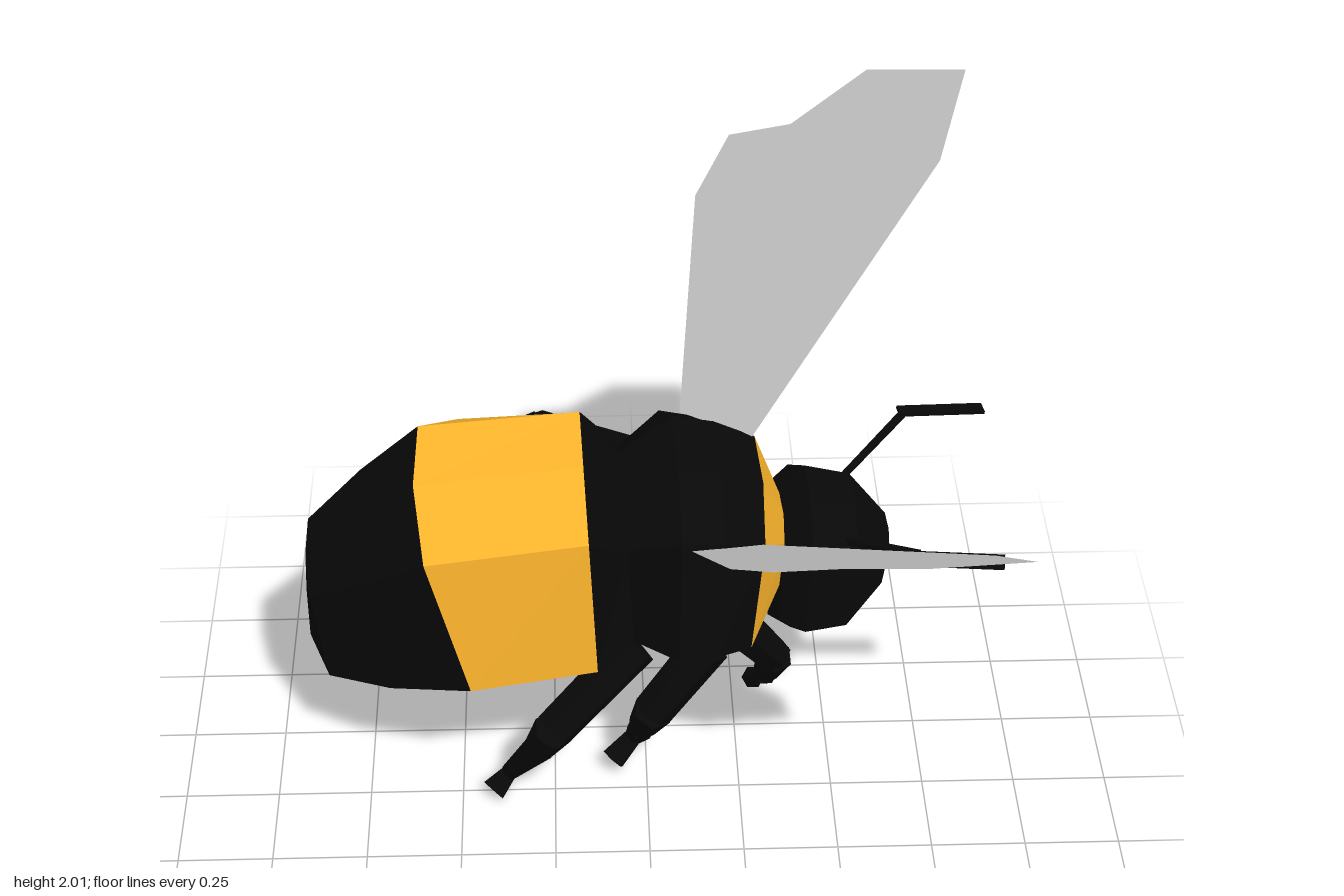
import * as THREE from 'three';

const material = (color) => new THREE.MeshStandardMaterial({ color, flatShading: true });
const black = material(0x080808);
const yellow = material(0xfcb52c);
const wingGrey = material(0xcccccc);
wingGrey.side = THREE.DoubleSide;

// Seven-sided body section: x at top and bottom, top and bottom height, half width, belly width ratio
function section([xTop, xBottom, top, bottom, w, belly = 0.55]) {
  const h = top - bottom;
  const half = [[0, 1], [0.5, 0.92], [1, 0.44], [belly, 0]];
  const loop = [...half, ...half.slice(1).reverse().map(([z, t]) => [-z, t])];
  return loop.map(([z, t]) => [xBottom + (xTop - xBottom) * t, bottom + h * t, z * w]);
}

// Skin over sections listed from tail to head, closed at both ends
function loft(name, mat, specs) {
  const rings = specs.map(section);
  const n = rings[0].length;
  const index = [];
  for (let r = 0; r < rings.length - 1; r++) {
    for (let i = 0; i < n; i++) {
      const a = r * n + i, b = r * n + (i + 1) % n;
      index.push(a, b, a + n, b, b + n, a + n);
    }
  }
  const last = (rings.length - 1) * n;
  for (let i = 1; i < n - 1; i++) {
    index.push(0, i + 1, i, last, last + i, last + i + 1);
  }
  const geo = new THREE.BufferGeometry();
  geo.setAttribute('position', new THREE.Float32BufferAttribute(rings.flat(2), 3));
  geo.setIndex(index);
  geo.computeVertexNormals();
  const mesh = new THREE.Mesh(geo, mat);
  mesh.name = name;
  return mesh;
}

// Chain of tapered segments; each point is x, y, z, radius
function limb(name, points, side, sides = 6) {
  const group = new THREE.Group();
  group.name = name;
  for (let i = 0; i < points.length - 1; i++) {
    const [p, q] = [points[i], points[i + 1]].map(([x, y, z]) => new THREE.Vector3(x, y, z * side));
    const dir = q.clone().sub(p);
    const geo = new THREE.CylinderGeometry(points[i + 1][3], points[i][3], dir.length(), sides);
    const mesh = new THREE.Mesh(geo, black);
    mesh.name = name + 'Segment';
    mesh.position.copy(p).add(q).multiplyScalar(0.5);
    mesh.quaternion.setFromUnitVectors(new THREE.Vector3(0, 1, 0), dir.normalize());
    group.add(mesh);
  }
  return group;
}

// Thin stalk ending in a flat blade that tilts outward
function antenna(name, side) {
  const group = limb(name, [[0.52, 0.63, 0.09, 0.012], [0.685, 0.755, 0.205, 0.014]], side, 4);
  const blade = new THREE.Mesh(new THREE.BoxGeometry(0.23, 0.008, 0.04), black);
  blade.name = name + 'Blade';
  blade.position.set(0.79, 0.74, 0.22 * side);
  blade.rotation.set(0.454 * side, -0.1 * side, -0.1);
  group.add(blade);
  return group;
}

function wing(name, side) {
  const outline = [[0.1, 0], [0.15, 0.62], [0.235, 0.78], [0.385, 0.8], [0.57, 0.934],
    [0.81, 0.92], [0.755, 0.68], [0.285, -0.09]];
  const shape = new THREE.Shape(outline.map(([x, y]) => new THREE.Vector2(x, y)));
  const mesh = new THREE.Mesh(new THREE.ShapeGeometry(shape), wingGrey);
  mesh.name = name;
  mesh.position.set(0, 0.845, 0.2 * side);
  mesh.rotation.x = 0.525 * side;
  return mesh;
}

export function createModel() {
  const model = new THREE.Group();
  model.name = 'bee';
  const body = new THREE.Group();
  body.name = 'tiltedBody';
  // The whole insect is banked about its long axis and turned slightly
  body.rotation.set(THREE.MathUtils.degToRad(26), 0.045, 0);
  body.position.set(0, 0.215, -0.44);
  model.add(body);

  // Abdomen, with the drooping tail and the wide yellow band
  const bandRear = [-0.59, -0.39, 0.905, 0.2, 0.4];
  const bandFront = [-0.16, -0.14, 0.952, 0.22, 0.382];
  const waist = [-0.06, -0.04, 0.79, 0.3, 0.29];
  body.add(loft('abdomenTail', black, [
    [-0.9, -0.91, 0.45, 0.13, 0.1],
    [-0.89, -0.83, 0.57, 0.055, 0.23, 0.3],
    [-0.74, -0.65, 0.745, 0.13, 0.33],
    bandRear,
  ]));
  body.add(loft('abdomenBand', yellow, [bandRear, bandFront]));

  // Waist and thorax, with the yellow collar closing sharply behind the head
  const collarRear = [0.3, 0.22, 0.81, 0.25, 0.32];
  body.add(loft('thorax', black, [
    bandFront, waist, [0.08, 0.05, 0.905, 0.27, 0.37], [0.19, 0.15, 0.875, 0.26, 0.355], collarRear,
  ]));
  body.add(loft('collar', yellow, [collarRear, [0.37, 0.33, 0.6, 0.36, 0.13]]));

  // Head
  body.add(loft('head', black, [
    [0.36, 0.33, 0.62, 0.24, 0.2],
    [0.43, 0.39, 0.69, 0.21, 0.25],
    [0.55, 0.5, 0.66, 0.165, 0.22],
    [0.65, 0.61, 0.5, 0.32, 0.11],
  ]));

  // Paired parts: the model's +z flank and its mirror
  const legs = {
    frontLeg: [[0.23, 0.38, 0.19, 0.06], [0.34, 0.21, 0.22, 0.05], [0.32, 0.1, 0.22, 0.035],
      [0.3, 0.02, 0.2, 0.018], [0.295, -0.02, 0.18, 0.032]],
    middleLeg: [[0.15, 0.42, 0.27, 0.06], [0.0, 0.23, 0.367, 0.055], [-0.03, 0.12, 0.365, 0.04],
      [-0.05, 0.045, 0.36, 0.026], [-0.11, 0.01, 0.41, 0.036]],
    hindLeg: [[-0.04, 0.47, 0.28, 0.06], [-0.27, 0.338, 0.45, 0.055], [-0.31, 0.22, 0.45, 0.042],
      [-0.395, 0.05, 0.447, 0.024], [-0.44, 0.035, 0.49, 0.038]],
  };
  for (const [label, side] of [['left', -1], ['right', 1]]) {
    for (const [name, points] of Object.entries(legs)) body.add(limb(`${name}_${label}`, points, side));
    body.add(antenna(`antenna_${label}`, side));
    body.add(wing(`wing_${label}`, side));
  }
  return model;
}
